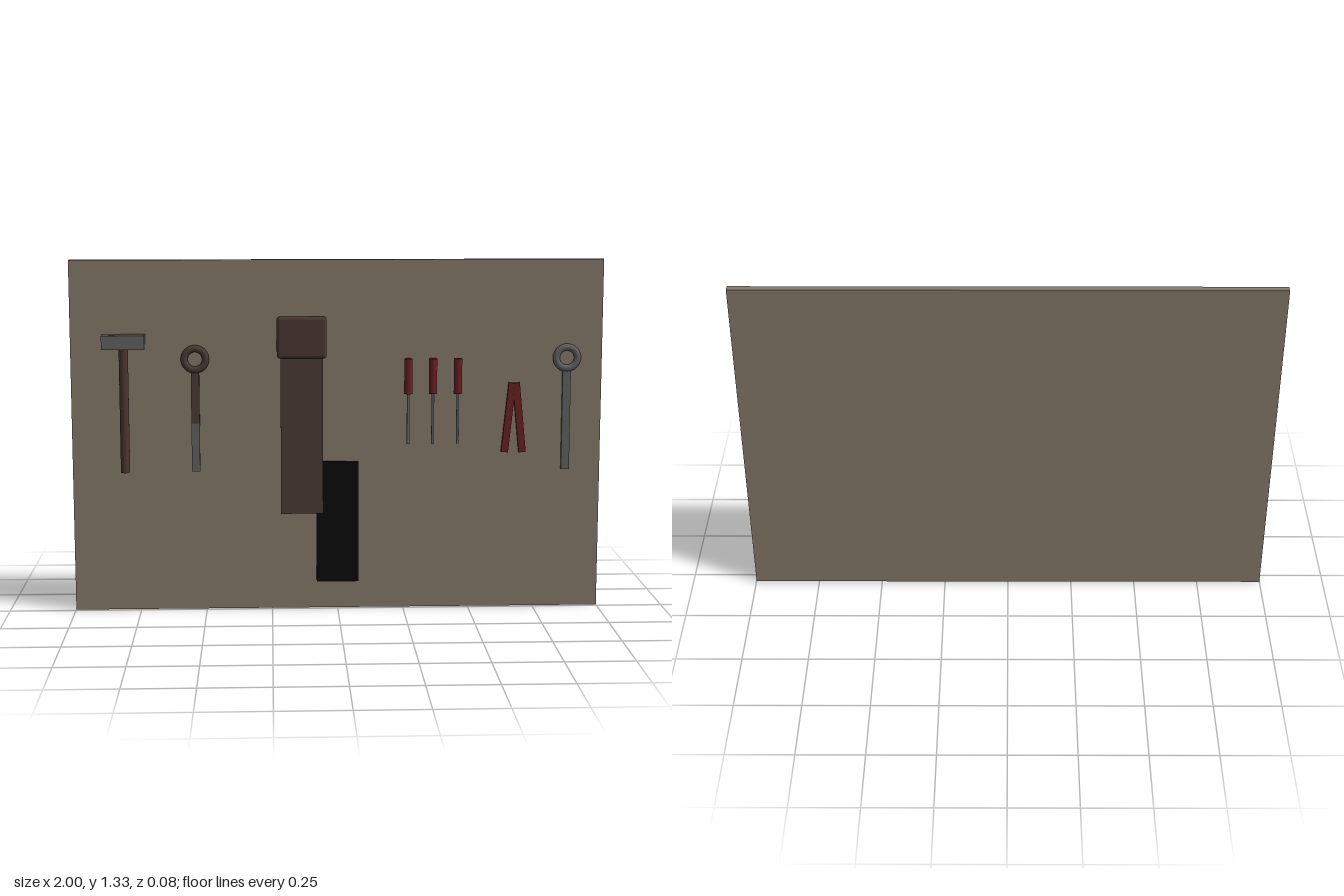
import * as THREE from 'three';
import { RoundedBoxGeometry } from 'three/addons/geometries/RoundedBoxGeometry.js';

const mat = (name, color) => Object.assign(new THREE.MeshStandardMaterial({ color }), { name });

export function createModel() {
  const board = mat('board tan', 0x85796a);
  const steel = mat('steel grey', 0x626262);
  const rust = mat('rust brown', 0x4a3b33);
  const wood = mat('dark wood', 0x4a372e);
  const red = mat('handle red', 0x6a2023);
  const black = mat('black', 0x0a0a0a);

  const root = new THREE.Group();
  root.name = 'toolBoard';

  const group = (name, x) => {
    const g = new THREE.Group();
    g.name = name;
    g.position.x = x;
    root.add(g);
    return g;
  };
  const add = (parent, name, geometry, material, x, y, z) => {
    const m = new THREE.Mesh(geometry, material);
    m.name = name;
    m.position.set(x, y, z);
    parent.add(m);
    return m;
  };
  const box = (w, h, d) => new THREE.BoxGeometry(w, h, d);
  const rod = (r, h) => new THREE.CylinderGeometry(r, r, h, 24);

  // Backing board
  add(root, 'backBoard', box(2, 1.333, 0.0267), board, 0, 0.6665, -0.0267);

  // Hammer, with a rusted patch on top of its head
  const hammer = group('hammer', -0.8);
  add(hammer, 'hammerHead', box(0.16, 0.052, 0.0533), steel, 0, 1.03, 0.0133);
  add(hammer, 'hammerHandle', rod(0.0172, 0.468), wood, 0, 0.771, 0.0145);
  const patch = new THREE.Shape([
    new THREE.Vector2(-0.075, -0.0266), new THREE.Vector2(0.08, -0.0266),
    new THREE.Vector2(0.08, 0.0266), new THREE.Vector2(-0.01, 0.0266),
  ]);
  add(hammer, 'hammerRust', new THREE.ShapeGeometry(patch), rust, 0, 1.0568, 0.0133)
    .rotation.x = -Math.PI / 2;

  // Two ring wrenches: the first is rusted on its upper part
  const wrench = (name, x, upper) => {
    const g = group(name, x);
    add(g, 'wrenchRing', new THREE.TorusGeometry(0.04, 0.0133, 16, 40), upper, 0, 0.963, 0);
    add(g, 'wrenchLowerShaft', box(0.031, 0.183, 0.0133), steel, 0, 0.6285, 0);
    add(g, 'wrenchUpperShaft', box(0.031, 0.2, 0.0133), upper, 0, 0.82, 0);
  };
  wrench('rustyWrench', -0.535, rust);
  wrench('steelWrench', 0.865, steel);

  // Saw
  const saw = group('saw', -0.135);
  add(saw, 'sawHandle', new RoundedBoxGeometry(0.187, 0.157, 0.0333, 4, 0.0125), wood, 0, 1.043, 0.003);
  add(saw, 'sawBlade', box(0.16, 0.61, 0.005), rust, 0, 0.675, -0.004);

  // Dark sheet behind the saw
  add(root, 'darkSheet', box(0.16, 0.468, 0.004), black, 0, 0.336, -0.0113);

  // Row of screwdrivers
  for (const x of [0.265, 0.358, 0.452]) {
    const g = group('screwdriver', x);
    add(g, 'screwdriverHandle', rod(0.0155, 0.133), red, 0, 0.897, 0.016);
    add(g, 'screwdriverShaft', rod(0.0053, 0.192), steel, 0, 0.736, 0.016);
  }

  // Pliers: two crossing arms
  const pliers = group('pliers', 0.667);
  for (const s of [-1, 1]) {
    add(pliers, 'pliersArm', box(0.027, 0.266, 0.0133), red, s * 0.0205, 0.736, s * 0.0003)
      .rotation.z = s * 0.1;
  }

  return root;
}
